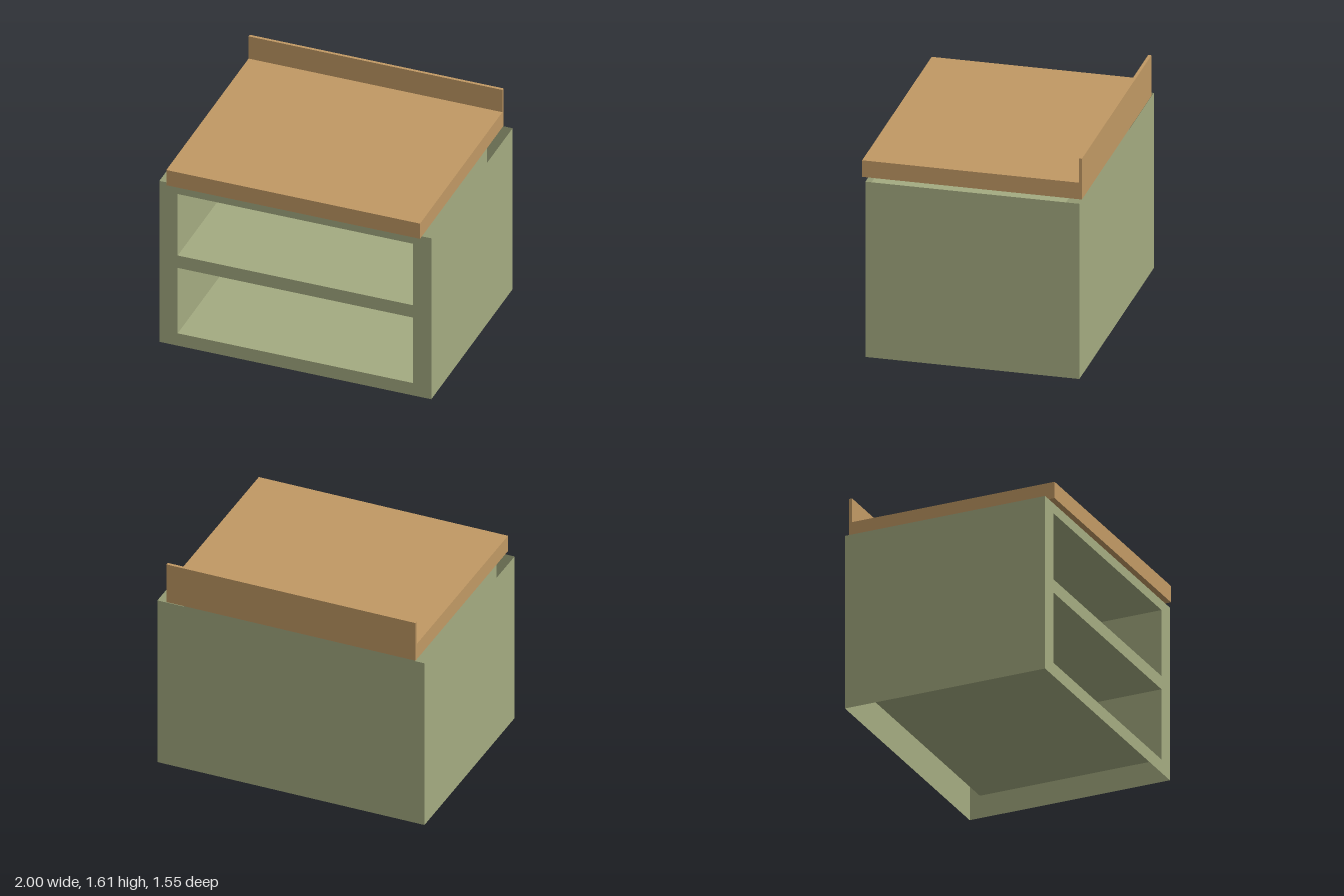
import * as THREE from 'three';

const W = 1, H = 1.303, FRONT = 0.737, BACK = -0.777; // cabinet half width, height, z range
const OPEN_W = 0.865, CUBBY_BACK = -0.637;
const openings = [[0.1, 0.63], [0.73, 1.228]]; // bottom and top of each cubby

export function createModel() {
  const green = new THREE.MeshStandardMaterial({ color: 0xa4ab81, side: THREE.DoubleSide });
  green.name = 'sage green paint';
  const wood = new THREE.MeshStandardMaterial({ color: 0xc19964 });
  wood.name = 'light wood';

  const model = new THREE.Group();
  model.name = 'baseCabinet';

  const add = (parent, name, geometry, material, x = 0, y = 0, z = 0) => {
    const mesh = new THREE.Mesh(geometry, material);
    mesh.name = name;
    mesh.position.set(x, y, z);
    parent.add(mesh);
    return mesh;
  };

  const rect = (path, x, y0, y1) =>
    path.moveTo(-x, y0).lineTo(x, y0).lineTo(x, y1).lineTo(-x, y1).closePath();

  // Front face sheet with the two cubby openings
  const face = rect(new THREE.Shape(), W, 0, H);
  for (const [y0, y1] of openings) face.holes.push(rect(new THREE.Path(), OPEN_W, y0, y1));
  add(model, 'frontFrame', new THREE.ShapeGeometry(face), green, 0, 0, FRONT);

  // Thin outer shell, open at the top and bottom
  const depth = FRONT - BACK;
  for (const side of [-1, 1]) {
    const panel = new THREE.PlaneGeometry(depth, H).rotateY(side * Math.PI / 2);
    add(model, side > 0 ? 'leftSide' : 'rightSide', panel, green, side * W, H / 2, (FRONT + BACK) / 2);
  }
  add(model, 'backPanel', new THREE.PlaneGeometry(2 * W, H).rotateY(Math.PI), green, 0, H / 2, BACK);

  // Cubbies: thin boxes open towards the front
  const cubbyDepth = FRONT - CUBBY_BACK;
  openings.forEach(([y0, y1], i) => {
    const cubby = new THREE.Group();
    cubby.name = i ? 'upperCubby' : 'lowerCubby';
    cubby.position.set(0, (y0 + y1) / 2, (FRONT + CUBBY_BACK) / 2);
    const h = y1 - y0;
    for (const s of [-1, 1]) {
      add(cubby, s > 0 ? 'cubbyLeftWall' : 'cubbyRightWall',
        new THREE.PlaneGeometry(cubbyDepth, h).rotateY(s * Math.PI / 2), green, s * OPEN_W);
      add(cubby, s > 0 ? 'cubbyCeiling' : 'cubbyFloor',
        new THREE.PlaneGeometry(2 * OPEN_W, cubbyDepth).rotateX(-s * Math.PI / 2), green, 0, s * h / 2);
    }
    add(cubby, 'cubbyBack', new THREE.PlaneGeometry(2 * OPEN_W, h), green, 0, 0, -cubbyDepth / 2);
    model.add(cubby);
  });

  // Worktop with upstand: an L profile (u = -z, v = y) swept across the width
  const profile = new THREE.Shape([
    [-0.777, 1.307], [0.777, 1.307], [0.777, 1.61], [0.755, 1.61], [0.755, 1.43], [-0.777, 1.43],
  ].map(([u, v]) => new THREE.Vector2(u, v)));
  const topWidth = 1.866;
  const worktop = new THREE.ExtrudeGeometry(profile, { depth: topWidth, bevelEnabled: false })
    .translate(0, 0, -topWidth / 2)
    .rotateY(Math.PI / 2);
  add(model, 'worktopWithUpstand', worktop, wood);

  return model;
}
